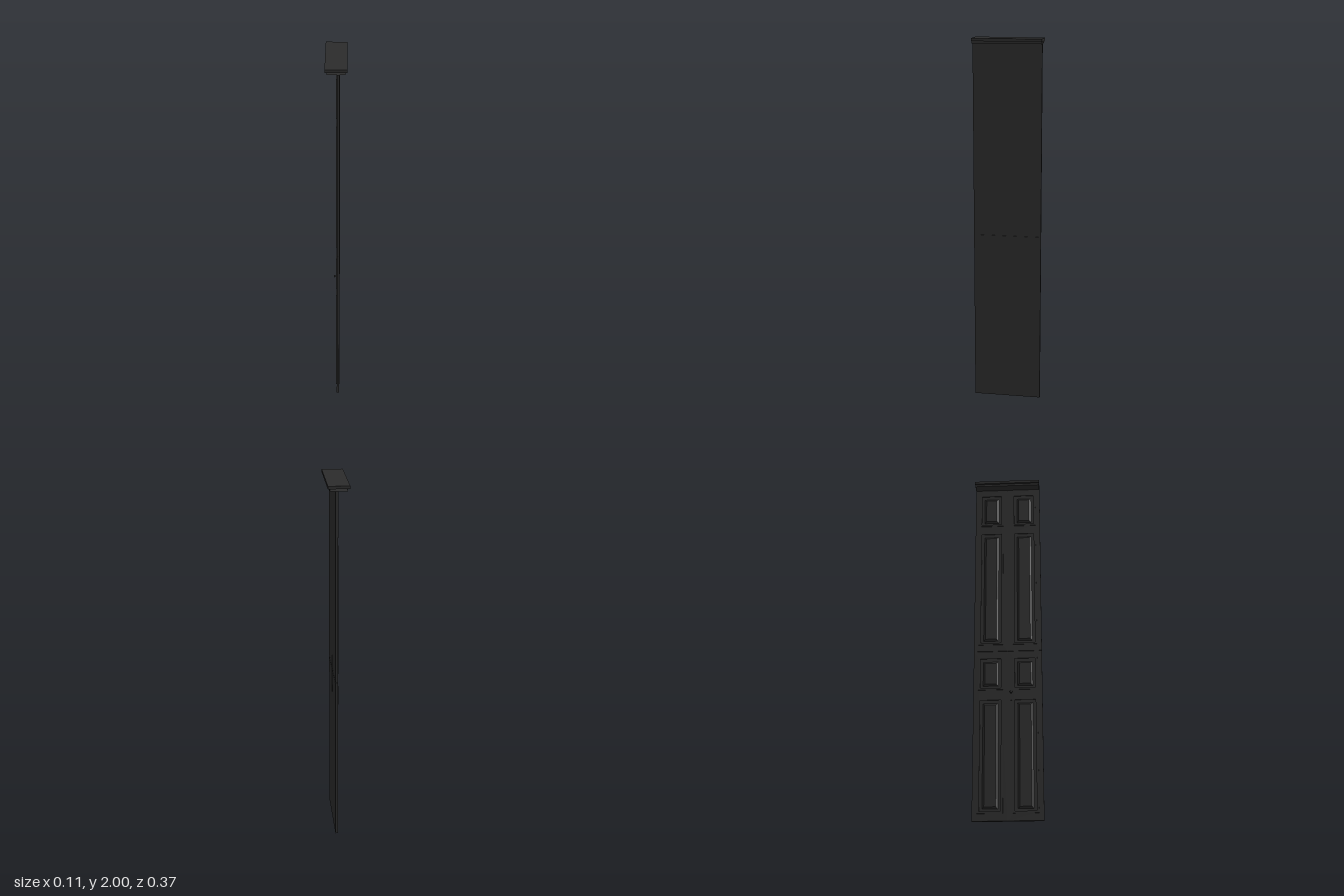
import * as THREE from 'three';

const dark = new THREE.MeshStandardMaterial({ color: 0x2b2b2b });
const darkThin = new THREE.MeshStandardMaterial({ color: 0x2b2b2b, side: THREE.DoubleSide });

function add(parent, name, geometry, x = 0, y = 0, z = 0, material = dark) {
  const mesh = new THREE.Mesh(geometry, material);
  mesh.name = name;
  mesh.position.set(x, y, z);
  parent.add(mesh);
  return mesh;
}

// rectangle outline from corner to corner, grown by g
function outline(Type, [x0, y0, x1, y1], g = 0) {
  const p = new Type();
  p.moveTo(x0 - g, y0 - g);
  p.lineTo(x1 + g, y0 - g);
  p.lineTo(x1 + g, y1 + g);
  p.lineTo(x0 - g, y1 + g);
  p.closePath();
  return p;
}

function plate(rect, holes, depth) {
  const shape = outline(THREE.Shape, rect);
  shape.holes = holes;
  return new THREE.ExtrudeGeometry(shape, { depth, bevelEnabled: false });
}

// raised field: a four-sided frustum on the panel
function raisedField([x0, y0, x1, y1], depth, slope) {
  const geo = new THREE.BoxGeometry(x1 - x0, y1 - y0, depth);
  const p = geo.attributes.position;
  for (let i = 0; i < p.count; i++) {
    if (p.getZ(i) > 0) {
      p.setX(i, p.getX(i) - Math.sign(p.getX(i)) * slope);
      p.setY(i, p.getY(i) - Math.sign(p.getY(i)) * slope);
    }
  }
  geo.computeVertexNormals();
  geo.translate((x0 + x1) / 2, (y0 + y1) / 2, depth / 2);
  return geo;
}

export function createModel() {
  const model = new THREE.Group();
  model.name = 'panelledDoor';

  // leaves are drawn flat, then turned so that depth runs towards -x
  const door = new THREE.Group();
  door.name = 'doorLeaves';
  door.rotation.y = -Math.PI / 2;
  door.position.x = 0.018;
  model.add(door);

  // bottom, top, and the two panel spans of each tier
  const tiers = [
    { name: 'lower', y0: 0, y1: 0.936, panels: [[0.045, 0.66], [0.72, 0.9]] },
    { name: 'upper', y0: 0.941, y1: 1.973, panels: [[0.985, 1.68], [1.735, 1.935]] },
  ];
  for (const tier of tiers) {
    for (const side of [-1, 1]) {
      const leaf = new THREE.Group();
      leaf.name = tier.name + (side < 0 ? 'BackLeaf' : 'FrontLeaf');
      door.add(leaf);
      const span = (a, b) => (side < 0 ? [-b, -a] : [a, b]);
      const [zA, zB] = span(0.0015, 0.1845);
      const [pA, pB] = span(0.032, 0.153);
      const rects = tier.panels.map(([a, b]) => [pA, a, pB, b]);

      // stiles and rails over a flat back
      add(leaf, 'leafBack', plate([zA, tier.y0, zB, tier.y1], [], 0.006));
      add(leaf, 'stilesAndRails',
        plate([zA, tier.y0, zB, tier.y1], rects.map(r => outline(THREE.Path, r)), 0.008), 0, 0, 0.006);

      for (const r of rects) {
        // moulding around the opening
        const [a, b, c, d] = r;
        add(leaf, 'panelMoulding',
          plate([a - 0.006, b - 0.006, c + 0.006, d + 0.006], [outline(THREE.Path, r, -0.005)], 0.0035), 0, 0, 0.014);
        const inset = [a + 0.02, b + 0.02, c - 0.02, d - 0.02];
        add(leaf, 'raisedPanel', raisedField(inset, 0.007, 0.01), 0, 0, 0.006);
      }
    }
  }
  // strips closing the seams between the leaves
  add(model, 'verticalSeam', new THREE.BoxGeometry(0.006, 1.973, 0.006), 0.012, 0.9865, 0);
  add(model, 'horizontalSeam', new THREE.BoxGeometry(0.006, 0.008, 0.369), 0.012, 0.9385, 0);

  // knob and keyhole plate
  const profile = [[0, 0], [0.006, 0], [0.006, 0.002], [0.0025, 0.003], [0.0025, 0.008],
    [0.006, 0.01], [0.0075, 0.013], [0.006, 0.016], [0, 0.0175]].map(([r, h]) => new THREE.Vector2(r, h));
  add(model, 'doorKnob', new THREE.LatheGeometry(profile, 16), 0.004, 0.698, 0.017).rotation.z = Math.PI / 2;
  add(model, 'keyholePlate', new THREE.BoxGeometry(0.003, 0.018, 0.008), 0.003, 0.662, 0.017);

  // cornice: slab on an open-ended casing
  add(model, 'corniceSlab', new THREE.BoxGeometry(0.111, 0.015, 0.371), 0, 1.9925, -0.0015);
  const casing = new THREE.PlaneGeometry(0.012, 0.368);
  for (const side of [-1, 1]) {
    const face = add(model, 'corniceFace', casing, side * 0.045, 1.979, -0.001, darkThin);
    face.rotation.set(Math.PI / 2, Math.PI / 2, 0);
  }
  const soffit = add(model, 'corniceSoffit', new THREE.PlaneGeometry(0.09, 0.368), 0, 1.973, -0.001, darkThin);
  soffit.rotation.x = Math.PI / 2;
  return model;
}
